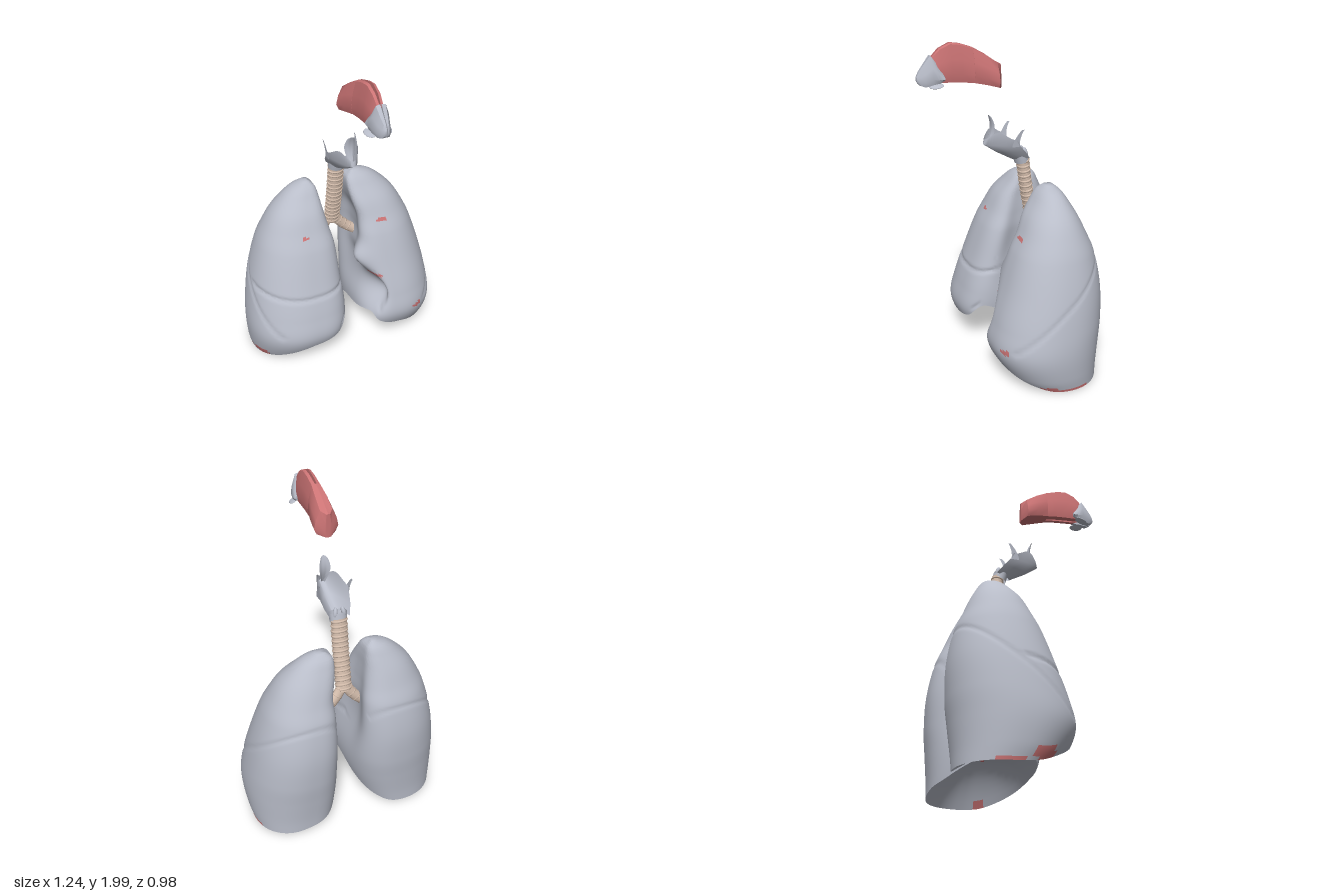
import * as THREE from 'three';
import { mergeVertices, toCreasedNormals } from 'three/addons/utils/BufferGeometryUtils.js';

const mat = (name, color) => Object.assign(
  new THREE.MeshStandardMaterial({ color, side: THREE.DoubleSide }), { name });

// smooth lookup through the points (xs, ys)
function look(xs, ys, x) {
  const n = xs.length - 1, v = Math.min(xs[n], Math.max(xs[0], x));
  const i = Math.max(1, xs.findIndex(q => q >= v));
  const slope = k => {
    const a = Math.max(0, k - 1), b = Math.min(n, k + 1);
    return (ys[b] - ys[a]) / (xs[b] - xs[a]);
  };
  const h = xs[i] - xs[i - 1], t = (v - xs[i - 1]) / h, t2 = t * t, t3 = t2 * t;
  return (2 * t3 - 3 * t2 + 1) * ys[i - 1] + (t3 - 2 * t2 + t) * h * slope(i - 1)
    + (3 * t2 - 2 * t3) * ys[i] + (t3 - t2) * h * slope(i);
}
const bell = (x, c, w) => Math.exp(-(((x - c) / w) ** 2));

// surface of (rows x cols) quads; faces where pick() is true go to material 1
function surface(rows, cols, fn, { closed = false, flip = false, crease = 1, pick } = {}) {
  const n = closed ? cols : cols + 1, pos = [], lists = [[], []];
  for (let i = 0; i <= rows; i++) for (let j = 0; j < n; j++) pos.push(...fn(i, j));
  for (let i = 0; i < rows; i++) for (let j = 0; j < cols; j++) {
    const k = (j + 1) % n, a = i * n + j, b = a + n, c = (i + 1) * n + k, d = i * n + k;
    const p = [0, 1, 2].map(q => (pos[a * 3 + q] + pos[c * 3 + q]) / 2);
    lists[pick && pick(...p) ? 1 : 0].push(...(flip ? [a, d, b, b, d, c] : [a, b, d, b, c, d]));
  }
  let g = new THREE.BufferGeometry();
  g.setAttribute('position', new THREE.Float32BufferAttribute(pos, 3));
  g.setIndex([...lists[0], ...lists[1]]);
  if (pick) {
    g.addGroup(0, lists[0].length, 0);
    g.addGroup(lists[0].length, lists[1].length, 1);
  }
  g = mergeVertices(g, 1e-5);
  return toCreasedNormals(g, crease);
}

// lung extents by height
const LY = [0, 0.1, 0.25, 0.4, 0.6, 0.8, 0.9, 1.0, 1.08, 1.13, 1.16];
const OUT = [0.59, 0.61, 0.62, 0.605, 0.565, 0.505, 0.46, 0.4, 0.325, 0.26, 0.19];
const IN_R = [0.13, 0.08, 0.03, 0.012, 0.02, 0.035, 0.06, 0.085, 0.1, 0.115, 0.145];
const IN_L = [0.13, 0.1, 0.08, 0.08, 0.08, 0.09, 0.1, 0.085, 0.08, 0.09, 0.125];
const FRONT = [0.03, 0.12, 0.19, 0.165, 0.1, 0.03, -0.02, -0.07, -0.13, -0.17, -0.21];
const BACK = [-0.45, -0.455, -0.47, -0.485, -0.485, -0.45, -0.41, -0.37, -0.33, -0.3, -0.265];
// height of the lower rim around the lung: 0 lateral, 90 front, 180 medial, 270 back
const RIM_A = [0, 30, 60, 90, 120, 145, 180, 205, 225, 250, 290, 360];
const RIM_R = [0.012, 0.035, 0.11, 0.19, 0.235, 0.32, 0.24, 0.13, 0.07, 0.025, 0.012, 0.012];
const RIM_L = [0.012, 0.025, 0.085, 0.16, 0.215, 0.265, 0.21, 0.13, 0.08, 0.05, 0.015, 0.012];

function lungPoint(side, y, deg) {
  const left = side > 0, a = deg * Math.PI / 180, c = Math.cos(a), s = Math.sin(a);
  const xi = look(LY, left ? IN_L : IN_R, y), xo = look(LY, OUT, y);
  const zf = look(LY, FRONT, y), zb = look(LY, BACK, y);
  const e = c >= 0 ? 0.93 : s > 0 ? 0.62 : left ? 0.7 : 0.82;
  const cx = xi + (xo - xi) * 0.43, cz = (zf + zb) / 2;
  // oblique and horizontal fissures
  let groove = 0.022 * bell(y, 0.4 - 0.85 * (cz + s * (zf - zb) / 2), 0.014) * (c > -0.75 && s < 0.85 ? 1 : 0);
  if (!left && s > 0.1) groove += 0.035 * bell(y, 0.53 + 0.035 * c * c, 0.012);
  const k = 1 - groove;
  let x = cx + Math.sign(c) * Math.abs(c) ** e * (c < 0 ? cx - xi : xo - cx) * k;
  const z = cz + Math.sign(s) * Math.abs(s) ** e * (zf - zb) / 2 * k;
  // hollow of the lung root
  x += 0.07 * bell(deg, 182, 24) * bell(y, 0.68, 0.28);
  // cardiac notch and the bulge over it
  if (left) {
    x += 0.12 * bell(deg, 140, 28) * bell(y, 0.42, 0.12);
    x -= 0.05 * bell(deg, 150, 28) * bell(y, 0.66, 0.07);
  }
  return [x, y, z];
}

function lung(side, mats) {
  const base = 12, wall = 100, cols = 80, top = [0.16, 1.162, -0.24], dome = [0.34, 0.29, -0.14];
  // small patches where the lining shows: x, y, radii
  const spots = side > 0
    ? [[0.25, 0.89, 0.035, 0.013], [0.06, 0.73, 0.025, 0.015], [0.17, 0.54, 0.03, 0.015],
      [0.43, 0.28, 0.035, 0.016], [0.56, 0.03, 0.03, 0.025]]
    : [[0.25, 0.89, 0.03, 0.01], [0.57, 0.07, 0.03, 0.035]];
  const fn = (i, j) => {
    const deg = j / cols * 360, rim = look(RIM_A, side > 0 ? RIM_L : RIM_R, deg);
    let p;
    if (i < base) {
      const t = i / base, r = lungPoint(side, rim, deg);
      p = [dome[0] + (r[0] - dome[0]) * t, dome[1] + (r[1] - dome[1]) * t ** 2.2, dome[2] + (r[2] - dome[2]) * t];
    } else if (i === base + wall) p = top;
    else p = lungPoint(side, rim + (1.16 - rim) * Math.sin((i - base) / wall * Math.PI / 2), deg);
    return [p[0] * side, p[1], p[2]];
  };
  const pick = (x, y, z) => (y < 0.026 && z > -0.3 && z < 0.02 && Math.abs(x) > 0.4)
    || (z > -0.12 && spots.some(([sx, sy, rx, ry]) => ((Math.abs(x) - sx) / rx) ** 2 + ((y - sy) / ry) ** 2 < 1));
  return new THREE.Mesh(surface(base + wall, cols, fn, { closed: true, flip: side < 0, pick }), mats);
}

export function createModel() {
  const root = new THREE.Group();
  const grey = mat('lungGrey', 0xb9bdc9), red = mat('liningRed', 0xcc7475), tan = mat('tracheaTan', 0xd6bfae);
  const V = (x, y, z) => new THREE.Vector3(x, y, z);
  const add = (name, geo, m, parent = root) => {
    const o = new THREE.Mesh(geo, m);
    o.name = name;
    parent.add(o);
    return o;
  };
  const blob = (name, p, r, rot) => {
    const o = add(name, new THREE.SphereGeometry(1, 20, 14), grey);
    o.position.set(...p);
    o.scale.set(...r);
    o.rotation.set(...rot);
  };

  for (const side of [-1, 1]) {
    const l = lung(side, [grey, red]);
    l.name = side > 0 ? 'leftLung' : 'rightLung';
    root.add(l);
  }

  // windpipe and its two branches, all ringed, with an oval section
  const windpipe = new THREE.Group(), oval = 0.75;
  windpipe.name = 'windpipe';
  windpipe.scale.z = oval;
  root.add(windpipe);
  const ringedTube = (name, points, radius, rings, thick) => {
    const curve = new THREE.CatmullRomCurve3(points.map(([x, y, z]) => V(x, y, z / oval)));
    add(name, new THREE.TubeGeometry(curve, 30, radius, 20), tan, windpipe);
    for (let i = 0; i < rings; i++) {
      const t = (i + 0.5) / rings, p = curve.getPointAt(t);
      const ring = add(name + 'Ring', new THREE.TorusGeometry(radius - 0.003, thick, 8, 24), tan, windpipe);
      ring.position.copy(p);
      ring.quaternion.setFromUnitVectors(V(0, 0, 1), curve.getTangentAt(t));
    }
  };
  ringedTube('windpipeTube', [[0, 1.29, -0.145], [0, 1.12, -0.168], [0, 0.95, -0.2], [0, 0.83, -0.225]], 0.047, 15, 0.008);
  for (const s of [-1, 1]) {
    ringedTube('bronchus', [[s * 0.01, 0.87, -0.222], [s * 0.04, 0.815, -0.228], [s * 0.1, 0.75, -0.23], [s * 0.17, 0.7, -0.22]], 0.033, 5, 0.005);
  }

  // voice box: shield open at the back, [frontY, frontZ, halfWidth, sideY, sideZ] per row
  const rows = [[1.435, 0.1, 0.095, 1.43, -0.07], [1.405, 0.108, 0.09, 1.395, -0.085],
    [1.35, 0.03, 0.08, 1.35, -0.125], [1.29, -0.075, 0.058, 1.3, -0.165]];
  add('shieldCartilage', surface(3, 24, (i, j) => {
    const u = j / 12 - 1, b = Math.abs(u), [fy, fz, w, sy, sz] = rows[i];
    const crest = i === 0 ? 0.045 * Math.sin(b * Math.PI) ** 2 : 0;
    return [w * Math.sign(u) * b ** 0.75, fy + (sy - fy) * b + crest, fz + (sz - fz) * b ** 1.4];
  }), grey);
  for (const s of [-1, 1]) {
    // flat tapering horn leaning back
    add('upperHorn', surface(6, 4, (i, j) => {
      const t = i / 6, u = j / 4 - 0.5;
      return [s * (0.089 + 0.009 * t), 1.39 + 0.1 * t, -0.06 - 0.04 * t * t + u * (0.05 - 0.034 * t)];
    }), grey);
    blob('smallCartilage', [s * 0.025, 1.33, -0.15], [0.013, 0.03, 0.014], [0.3, 0, s * 0.2]);
  }
  const band = add('ringCartilage', new THREE.CylinderGeometry(0.054, 0.052, 0.05, 28, 1, true), grey);
  band.position.set(0, 1.295, -0.133);
  band.scale.z = 0.8;
  band.rotation.x = 0.25;
  // leaf-shaped flap
  add('throatFlap', surface(10, 8, (i, j) => {
    const t = i / 10, u = j / 4 - 1, w = 0.012 + 0.022 * Math.sin(Math.PI * (t * 0.9) ** 1.3);
    return [u * w, 1.4 + 0.175 * t - 0.012 * u * u * t, 0.09 - 0.03 * Math.sin(t * 2.6) - 0.012 * u * u];
  }), grey);

  // nose, in mirrored halves: [z, topY, bottomY, halfWidth, innerX] per section
  const parts = [
    ['nasalLiningBack', red, [[0, 1.86, 1.72, 0.02, 0], [0.03, 1.875, 1.735, 0.072, 0], [0.1, 1.925, 1.755, 0.066, 0], [0.17, 1.965, 1.77, 0.05, 0]]],
    ['nasalLiningFront', red, [[0.17, 1.965, 1.77, 0.049, 0.006], [0.24, 1.99, 1.78, 0.046, 0.007], [0.3, 2, 1.785, 0.045, 0.008],
      [0.36, 1.975, 1.79, 0.043, 0.007], [0.4, 1.935, 1.8, 0.036, 0.004], [0.42, 1.9, 1.82, 0.022, 0.002]]],
    ['noseCartilage', grey, [[0.345, 1.84, 1.805, 0.056, 0.03], [0.38, 1.895, 1.785, 0.057, 0.012], [0.41, 1.94, 1.78, 0.054, 0.004],
      [0.45, 1.89, 1.775, 0.04, 0.002], [0.475, 1.86, 1.785, 0.026, 0.002], [0.49, 1.835, 1.805, 0.012, 0.002]]]
  ];
  for (const [name, m, secs] of parts) for (const s of [-1, 1]) {
    const n = secs.length;
    add(name, surface(n + 1, 6, (i, j) => {
      const [z, yt, yb, w, g] = secs[Math.min(n - 1, Math.max(0, i - 1))];
      // first and last rows close the ends
      if (i === 0 || i === n + 1) return [s * (w + g) / 2, (yt + yb) / 2, z];
      const x = [g, Math.max(g, w * 0.5), w * 0.85, w, w * 0.8, g][j];
      return [s * x, yb + (yt - yb) * [1, 0.97, 0.6, 0.25, 0.02, 0][j], z];
    }, { closed: true, flip: s < 0, crease: 0.7 }), m);
  }
  for (const s of [-1, 1]) {
    blob('nostrilEdge', [s * 0.05, 1.782, 0.395], [0.024, 0.007, 0.04], [0.1, -s * 0.35, -s * 0.35]);
  }
  return root;
}
